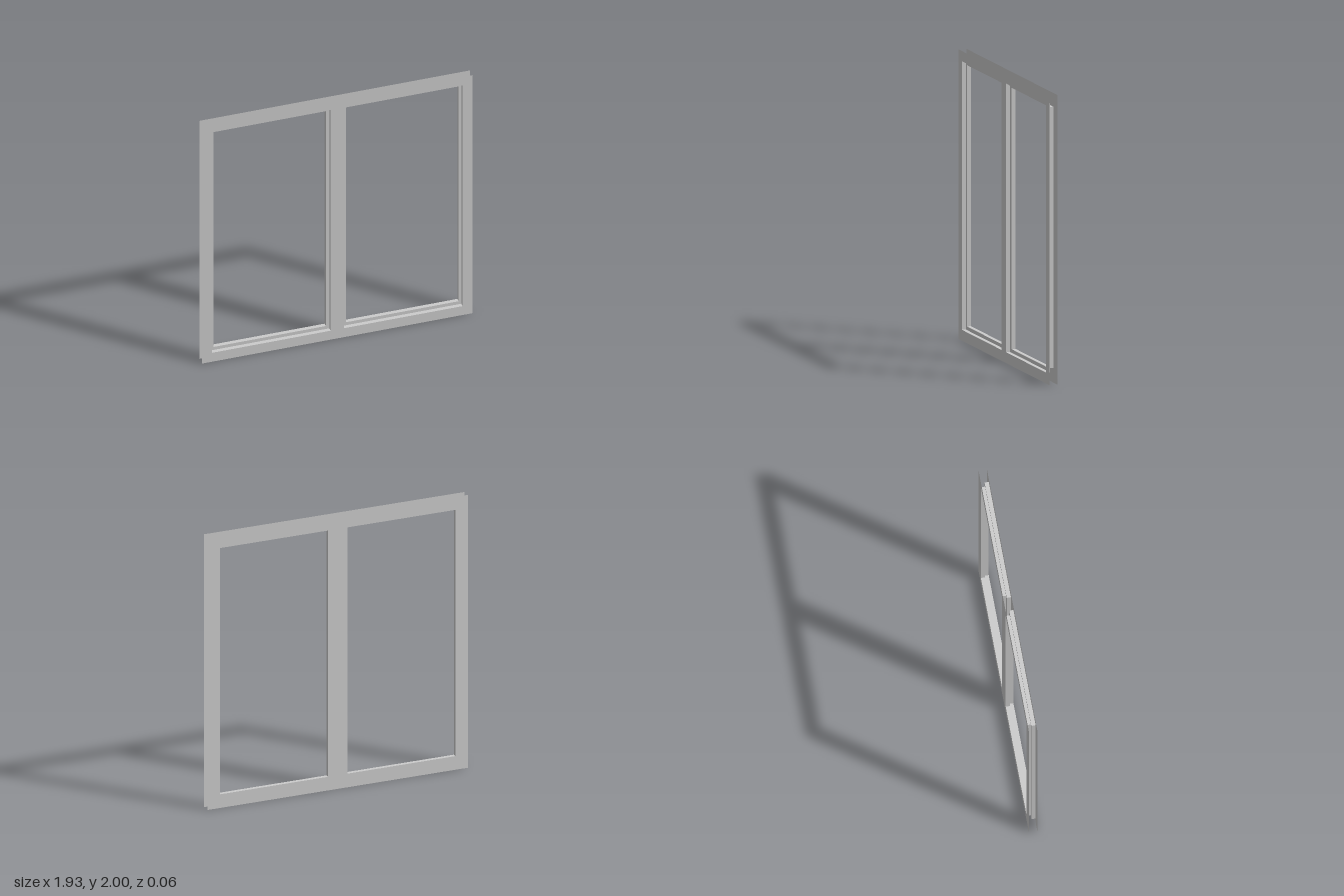
import * as THREE from 'three';

const W = 0.966, H = 2, Z = 0.029;
// Opening rectangles [x0, y0, x1, y1] of the right-hand (+x) pane
const WIDE = [0.047, 0.075, 0.895, 1.93];
const NARROW = [0.072, 0.1, 0.875, 1.905];

const material = new THREE.MeshStandardMaterial({ color: 0xcccccc, side: THREE.DoubleSide });

// Same opening on the other side of the mullion
const mirrored = ([x0, y0, x1, y1]) => [-x1, y0, -x0, y1];

const corners = ([x0, y0, x1, y1]) => [[x0, y0], [x1, y0], [x1, y1], [x0, y1]];
const points = (rect) => corners(rect).map(([x, y]) => new THREE.Vector2(x, y));

// Flat face of the frame with two window openings
function frameFace(opening) {
  const shape = new THREE.Shape(points([-W, 0, W, H]));
  for (const rect of [opening, mirrored(opening)]) {
    shape.holes.push(new THREE.Path(points(rect).reverse()));
  }
  return new THREE.ShapeGeometry(shape);
}

// Stepped lining of an opening, lofted through rectangular loops from front to back
function liningGeometry(wide, narrow) {
  const loops = [[wide, Z], [wide, 0], [narrow, 0], [narrow, -Z]]
    .map(([rect, z]) => corners(rect).map(([x, y]) => [x, y, z]));
  const pos = [];
  for (let i = 0; i < loops.length - 1; i++) {
    const a = loops[i], b = loops[i + 1];
    for (let j = 0; j < 4; j++) {
      const k = (j + 1) % 4;
      pos.push(...a[j], ...a[k], ...b[k], ...a[j], ...b[k], ...b[j]);
    }
  }
  const geometry = new THREE.BufferGeometry();
  geometry.setAttribute('position', new THREE.Float32BufferAttribute(pos, 3));
  geometry.computeVertexNormals();
  return geometry;
}

export function createModel() {
  const group = new THREE.Group();
  group.name = 'doubleWindowFrame';
  const add = (name, geometry) => {
    const mesh = new THREE.Mesh(geometry, material);
    mesh.name = name;
    group.add(mesh);
    return mesh;
  };

  // Front and back faces; the outer rim between them stays open
  add('frontFace', frameFace(WIDE)).position.z = Z;
  const back = add('backFace', frameFace(NARROW));
  back.rotation.y = Math.PI;
  back.position.z = -Z;

  // Rebated linings of the two openings
  add('leftOpeningLining', liningGeometry(WIDE, NARROW));
  add('rightOpeningLining', liningGeometry(mirrored(WIDE), mirrored(NARROW)));
  return group;
}
